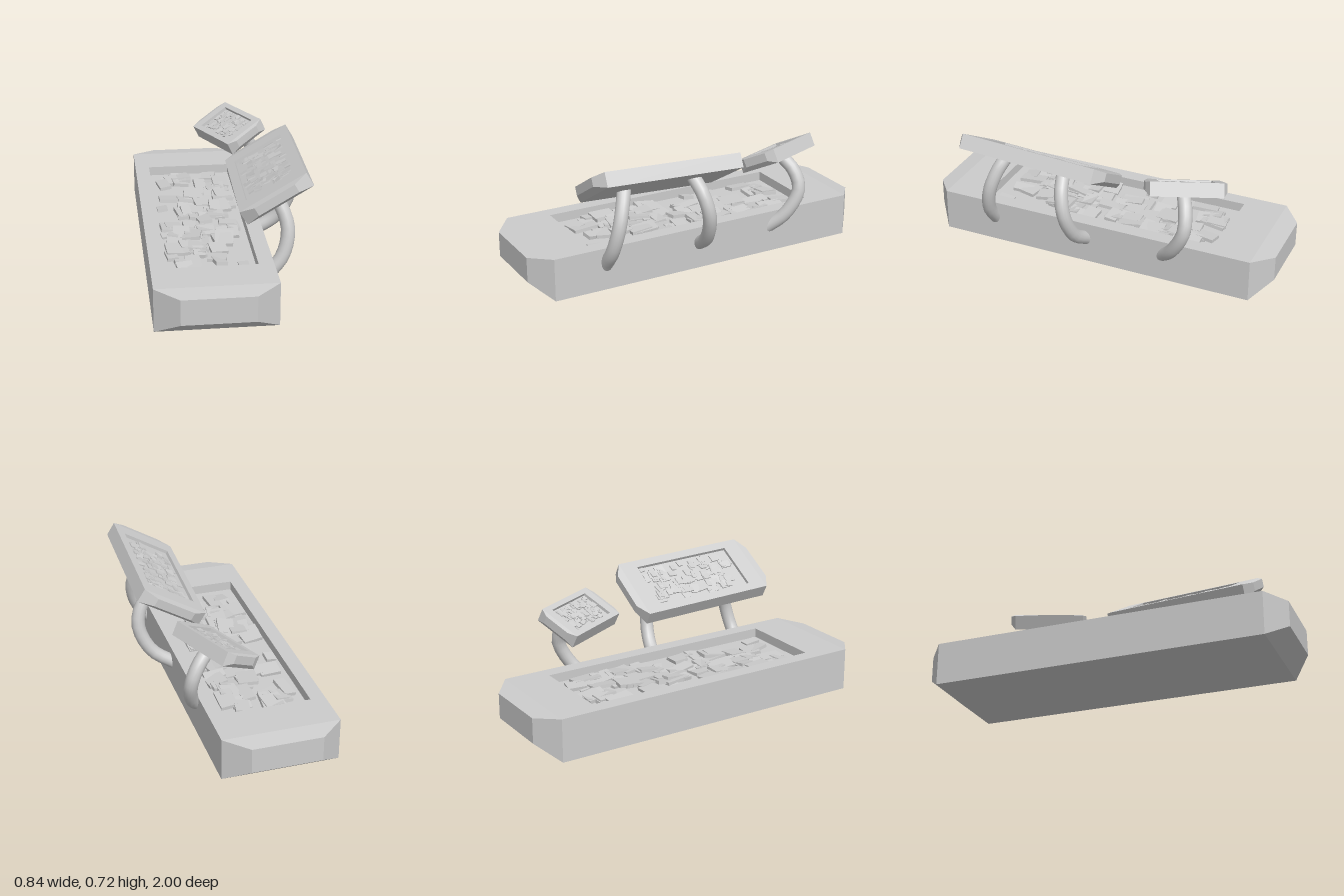
import * as THREE from 'three';
import { mergeGeometries } from 'three/addons/utils/BufferGeometryUtils.js';
import { ConvexGeometry } from 'three/addons/geometries/ConvexGeometry.js';

const flat = new THREE.MeshStandardMaterial({ color: 0xcccccc, flatShading: true });
const smooth = new THREE.MeshStandardMaterial({ color: 0xcccccc });

function seeded(seed) {
  return () => {
    seed = (seed * 16807) % 2147483647;
    return seed / 2147483647;
  };
}

function named(geometry, material, name) {
  const mesh = new THREE.Mesh(geometry, material);
  mesh.name = name;
  return mesh;
}

// Rectangular rings [halfWidth, halfLength, y] joined into a flat-faced skin
function loftRectangles(rings) {
  const corners = [[1, 1], [1, -1], [-1, -1], [-1, 1]];
  const at = (r, k) => [r[0] * corners[k % 4][0], r[2], r[1] * corners[k % 4][1]];
  const positions = [];
  for (let i = 0; i < rings.length - 1; i++) {
    for (let k = 0; k < 4; k++) {
      const a = at(rings[i], k), b = at(rings[i], k + 1);
      const c = at(rings[i + 1], k + 1), d = at(rings[i + 1], k);
      positions.push(...a, ...b, ...c, ...a, ...c, ...d);
    }
  }
  const geometry = new THREE.BufferGeometry();
  geometry.setAttribute('position', new THREE.Float32BufferAttribute(positions, 3));
  geometry.computeVertexNormals();
  return geometry;
}

// Tray: block with a sunken top, bevelled ends and a broken, rocky filling
function makeTray(name, width, height, length, seed) {
  const tray = new THREE.Group();
  tray.name = name;
  const w = width / 2, L = length / 2, l = L * 0.9;
  const rw = w * 0.746, rl = L * 0.68, floor = height * 0.78;

  tray.add(named(loftRectangles([
    [0, 0, 0], [w, l, 0], [w, l, height],
    [rw, rl, height], [rw, rl, floor], [0, 0, floor],
  ]), flat, 'trayBody'));

  for (const s of [1, -1]) {
    const points = [];
    for (const x of [-1, 1]) {
      for (const [inner, outer] of [[0, 0.34], [1, 0.93]]) {
        points.push(new THREE.Vector3(x * w, inner * height, s * l));
        points.push(new THREE.Vector3(x * w * 0.6, outer * height, s * L));
      }
    }
    tray.add(named(new ConvexGeometry(points), flat, s > 0 ? 'frontBevel' : 'backBevel'));
  }

  // Overlapping, slightly tilted slabs in the recess
  const random = seeded(seed);
  const slabs = [];
  for (let i = 0; i < 90; i++) {
    const sx = rw * (0.2 + 0.3 * random()), sz = rl * (0.08 + 0.14 * random());
    const slab = new THREE.BoxGeometry(sx, height * 0.08, sz);
    slab.rotateX((random() - 0.5) * 0.3 * height / (sz + height * 0.5));
    slab.rotateZ((random() - 0.5) * 0.3 * height / (sx + height * 0.5));
    slab.rotateY((random() - 0.5) * 0.35);
    slab.translate(
      (random() * 2 - 1) * (rw - sx * 0.6),
      floor + height * (0.01 + 0.07 * random()),
      (random() * 2 - 1) * (rl - sz * 0.65));
    slabs.push(slab);
  }
  tray.add(named(mergeGeometries(slabs), flat, 'rockyFilling'));
  return tray;
}

// Raised tray pivoting about its own centre
function makeRaisedTray(name, size, seed, position, rotation) {
  const pivot = new THREE.Group();
  pivot.name = name;
  const tray = makeTray(name + 'Tray', ...size, seed);
  tray.position.y = -size[1] / 2;
  pivot.add(tray);
  pivot.position.set(...position);
  pivot.rotation.set(...rotation);
  return pivot;
}

// Curved round arm through a few points
function makeArm(name, points) {
  const curve = new THREE.CatmullRomCurve3(points.map((p) => new THREE.Vector3(...p)));
  return named(new THREE.TubeGeometry(curve, 12, 0.037, 16), smooth, name);
}

export function createModel() {
  const model = new THREE.Group();
  model.name = 'tieredTrays';

  // Long base tray
  const base = makeTray('baseTray', 0.63, 0.235, 2, 11);
  base.position.x = -0.105;
  model.add(base);

  // Two tilted trays above its left edge
  model.add(makeRaisedTray('middleTray', [0.385, 0.08, 0.86], 57,
    [0.226, 0.574, 0.293], [-0.045, 0, 0.535, 'ZYX']));
  model.add(makeRaisedTray('smallTray', [0.245, 0.077, 0.425], 203,
    [0.117, 0.535, -0.497], [-0.04, 0.45, 0.46, 'YZX']));

  // Supporting arms
  model.add(makeArm('frontArm', [
    [0.18, 0.125, 0.6], [0.265, 0.235, 0.595], [0.295, 0.37, 0.57],
    [0.26, 0.49, 0.53], [0.215, 0.55, 0.5]]));
  model.add(makeArm('middleArm', [
    [0.18, 0.13, 0.04], [0.31, 0.22, 0.06], [0.378, 0.37, 0.085],
    [0.35, 0.49, 0.11], [0.275, 0.57, 0.13]]));
  model.add(makeArm('backArm', [
    [0.17, 0.125, -0.39], [0.24, 0.22, -0.48], [0.262, 0.36, -0.55],
    [0.22, 0.46, -0.54], [0.15, 0.53, -0.5]]));
  return model;
}
